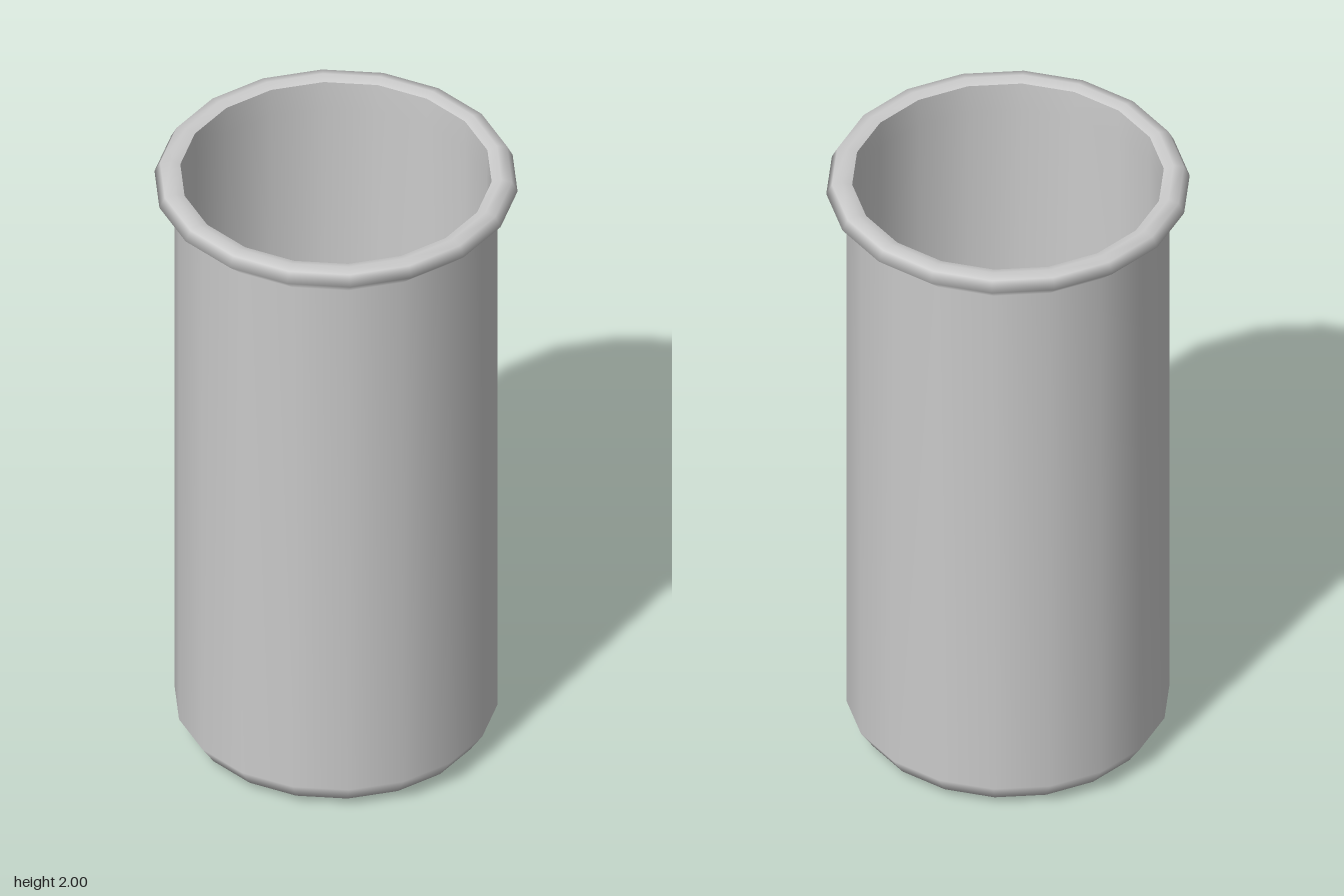
import * as THREE from 'three';

const SIDES = 18;

// Revolves a radius/height profile, with a corner on the +x axis
function revolve(name, profile, material) {
  const points = profile.map(([r, y]) => new THREE.Vector2(r, y));
  const mesh = new THREE.Mesh(new THREE.LatheGeometry(points, SIDES, Math.PI / 2), material);
  mesh.name = name;
  return mesh;
}

export function createModel() {
  const group = new THREE.Group();
  group.name = 'beaker';
  const material = new THREE.MeshStandardMaterial({ color: 0xcccccc, side: THREE.DoubleSide });

  // Outside: shallow base, bevelled foot, straight wall and rolled lip
  group.add(revolve('outerWallAndLip', [
    [0, 0], [0.22, 0.004], [0.44, 0.025], [0.48, 0.085],
    [0.48, 1.905], [0.54, 1.96], [0.523, 1.993], [0.492, 2], [0.463, 1.99],
  ], material));

  // Inside: straight wall running down to a rounded floor
  group.add(revolve('innerWallAndFloor', [
    [0.463, 1.99], [0.461, 1.9], [0.461, 0.095], [0.425, 0.043], [0.22, 0.022], [0, 0.018],
  ], material));

  return group;
}
